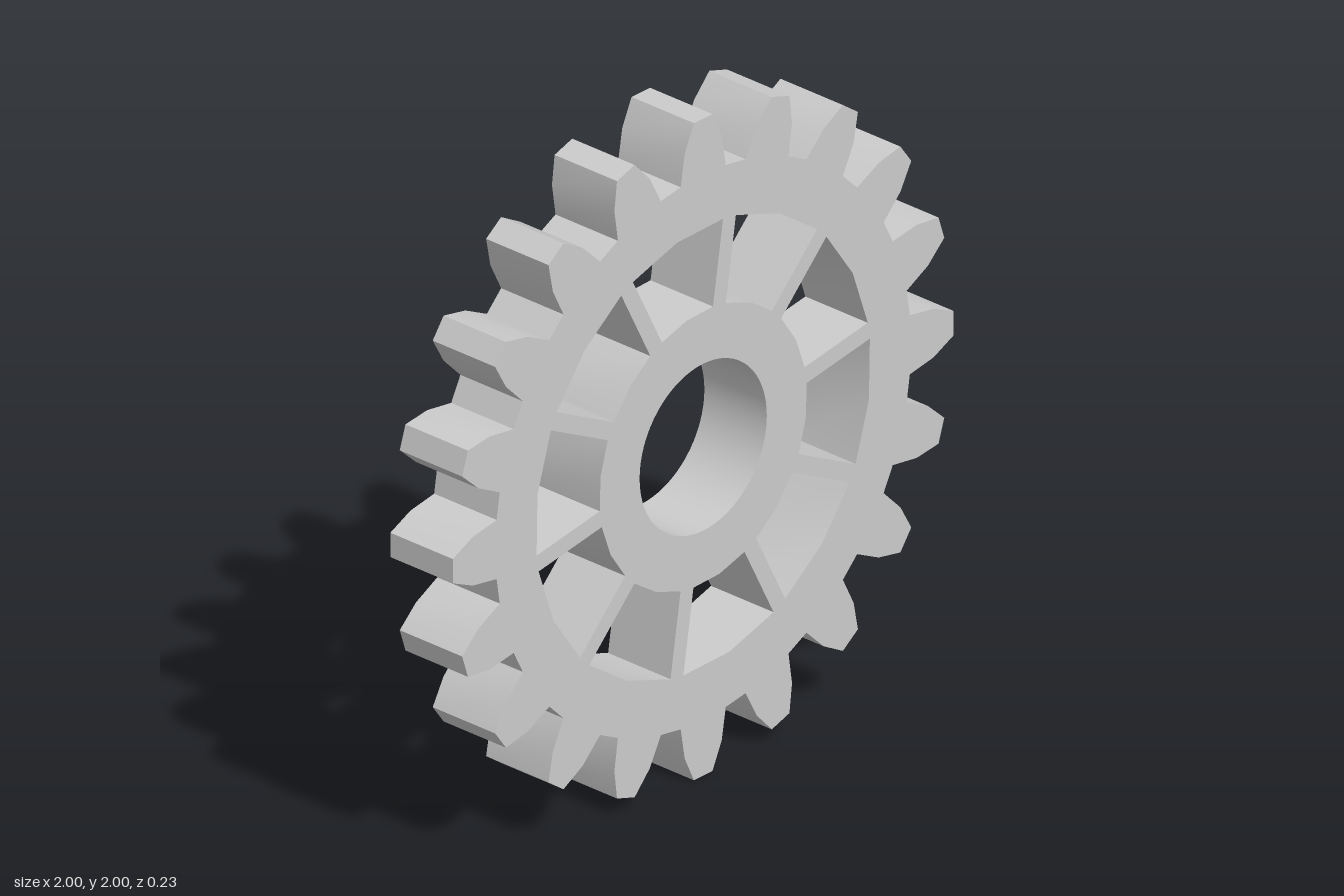
import * as THREE from 'three';
import { toCreasedNormals } from 'three/addons/utils/BufferGeometryUtils.js';

const TEETH = 20, SPOKES = 10;
const DEPTH = 0.23;
const BORE_R = 0.254, HUB_R = 0.415, RIM_R = 0.67;
const SPOKE_HALF = 0.026;

const polar = (r, a) => new THREE.Vector2(r * Math.cos(a), r * Math.sin(a));

// One tooth pointing along +x: [radial, sideways] points, root to root
const flank = [[0.825, 0.09], [0.92, 0.074], [1.0, 0.037]];
const tooth = [
  ...flank.map(([r, w]) => new THREE.Vector2(r, -w)),
  ...flank.slice().reverse().map(([r, w]) => new THREE.Vector2(r, w)),
];

// Toothed outline, repeated around the centre
function toothedOutline() {
  const points = [];
  const centre = new THREE.Vector2();
  for (let i = 0; i < TEETH; i++) {
    const a = (i / TEETH) * Math.PI * 2;
    for (const p of tooth) points.push(p.clone().rotateAround(centre, a));
  }
  return new THREE.Shape(points);
}

// Opening between two neighbouring spokes, with parallel-sided spokes
function windowHole(mid) {
  const half = Math.PI / SPOKES;
  const arc = (r) => {
    const reach = half - Math.asin(SPOKE_HALF / r);
    return [-reach, 0, reach].map((d) => polar(r, mid + d));
  };
  return new THREE.Path([...arc(RIM_R), ...arc(HUB_R).reverse()]);
}

export function createModel() {
  const model = new THREE.Group();
  model.name = 'spurGear';

  const shape = toothedOutline();

  // Round shaft bore
  const bore = new THREE.Path();
  bore.absarc(0, 0, BORE_R, 0, Math.PI * 2, true);
  shape.holes.push(bore);

  // Spoke windows; spokes sit half a tooth pitch off the teeth
  for (let i = 0; i < SPOKES; i++) {
    const mid = -Math.PI / TEETH + (i / SPOKES) * Math.PI * 2;
    shape.holes.push(windowHole(mid));
  }

  // Rim, teeth, spokes and hub are one solid plate
  const geometry = new THREE.ExtrudeGeometry(shape, {
    depth: DEPTH, bevelEnabled: false, curveSegments: 32,
  });
  geometry.translate(0, 0, -DEPTH / 2);

  const gear = new THREE.Mesh(
    toCreasedNormals(geometry, Math.PI / 6),
    new THREE.MeshStandardMaterial({ color: 0xcccccc }),
  );
  gear.name = 'gearBody';
  gear.position.y = 1;
  model.add(gear);

  return model;
}
